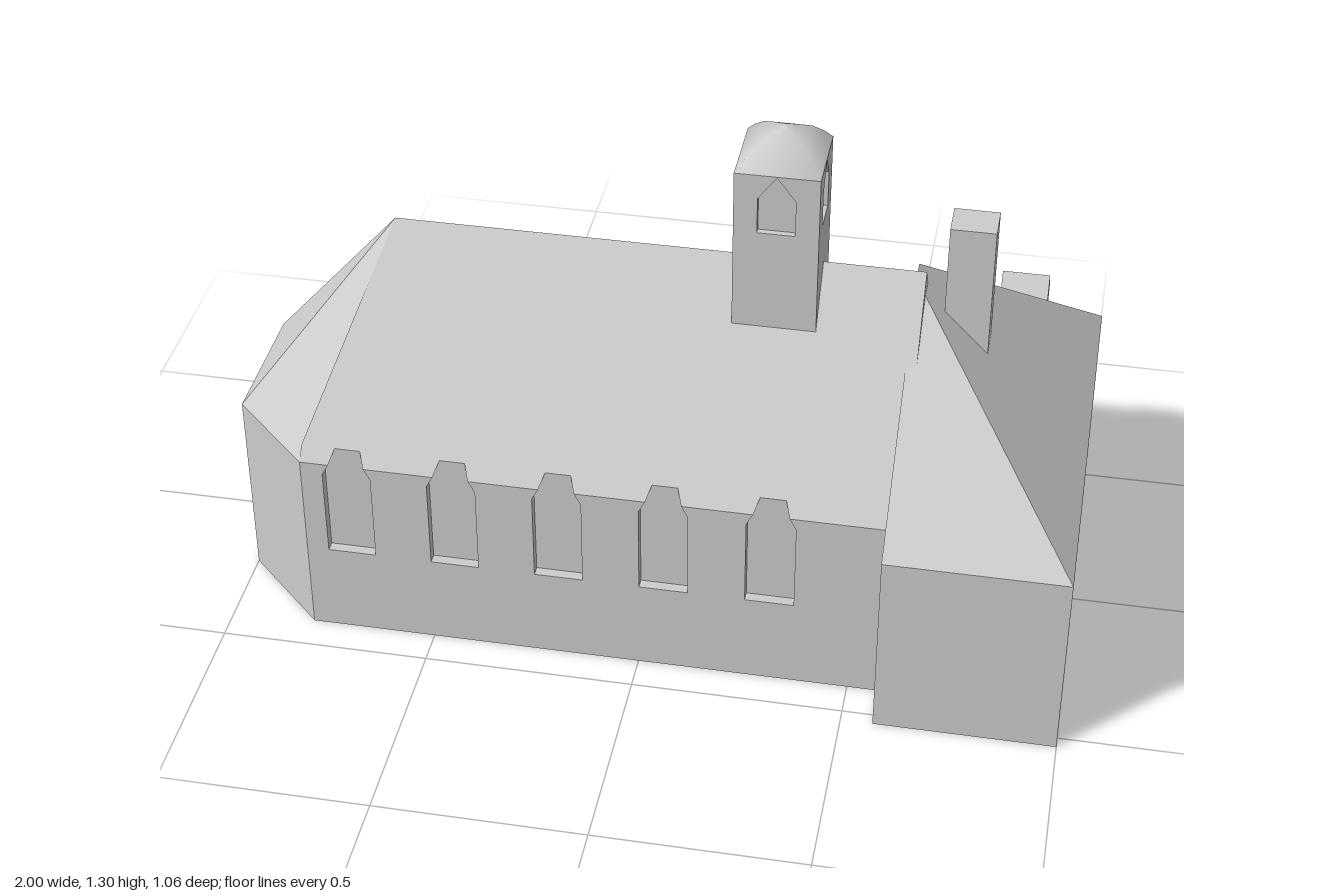
import * as THREE from 'three';

const stone = new THREE.MeshStandardMaterial({ color: 0xcccccc });
stone.name = 'stone grey';

const mesh = (name, geometry, parent) => {
  const m = new THREE.Mesh(geometry, stone);
  m.name = name;
  parent.add(m);
  return m;
};

const box = (name, x0, x1, y0, y1, z0, z1, parent) => {
  const m = mesh(name, new THREE.BoxGeometry(x1 - x0, y1 - y0, z1 - z0), parent);
  m.position.set((x0 + x1) / 2, (y0 + y1) / 2, (z0 + z1) / 2);
  return m;
};

// Flat faces, each a convex list of [x, y, z] corners
function faces(list) {
  const pos = [];
  for (const f of list)
    for (let i = 1; i < f.length - 1; i++) pos.push(...f[0], ...f[i], ...f[i + 1]);
  const g = new THREE.BufferGeometry();
  g.setAttribute('position', new THREE.Float32BufferAttribute(pos, 3));
  g.computeVertexNormals();
  return g;
}

const shapeOf = pts => new THREE.Shape(pts.map(p => new THREE.Vector2(...p)));
const extrude = (shape, depth) => new THREE.ExtrudeGeometry(shape, { depth, bevelEnabled: false });

// Wall plate with pointed window openings
function windowedWall(x0, x1, y0, y1, depth, centres, half, sill, spring, apex) {
  const s = shapeOf([[x0, y0], [x1, y0], [x1, y1], [x0, y1]]);
  for (const c of centres)
    s.holes.push(shapeOf([[c - half, sill], [c - half, spring], [c, apex], [c + half, spring], [c + half, sill]]));
  return extrude(s, depth);
}

const ZC = 0.053, HALF = 0.362, DEPTH = 0.025, EAVE = 0.485, RIDGE = 0.95;
const INNER = EAVE + DEPTH * (RIDGE - EAVE) / HALF;
const BAYS = [-0.69, -0.44, -0.19, 0.06, 0.31];

// Nave core with its hipped, angled end
function naveCore() {
  const side = [[-1, 0.17, EAVE], [-0.8, HALF, EAVE], [-0.8, HALF - DEPTH, INNER], [0.6, HALF - DEPTH, INNER]];
  const loop = [...side, ...side.map(([x, z, y]) => [x, -z, y]).reverse()];
  const ridge = x => [x > 0 ? 0.6 : -0.64, RIDGE, ZC];
  const list = [];
  loop.forEach(([px, pz, py], i) => {
    const [qx, qz, qy] = loop[(i + 1) % loop.length];
    const p0 = [px, 0, ZC + pz], q0 = [qx, 0, ZC + qz];
    const p1 = [px, py, ZC + pz], q1 = [qx, qy, ZC + qz];
    list.push([p0, q0, q1, p1], [q0, p0, [0, 0, ZC]], [p1, q1, ridge(qx)]);
    if (px * qx < 0) list.push([p1, ridge(qx), ridge(px)]);
  });
  return faces(list);
}

// Side wall whose window heads cut through the eaves
function naveWall(sign) {
  const ends = [-0.8 * sign, 0.6 * sign].sort((a, b) => a - b);
  const centres = BAYS.map(c => c * sign).sort((a, b) => b - a);
  const pts = [[ends[0], 0], [ends[1], 0], [ends[1], EAVE]];
  for (const c of centres)
    pts.push([c + 0.042, EAVE], [c + 0.0575, 0.455], [c + 0.0575, 0.23],
      [c - 0.0575, 0.23], [c - 0.0575, 0.455], [c - 0.042, EAVE]);
  pts.push([ends[0], EAVE]);
  const g = extrude(shapeOf(pts), DEPTH);
  // Slope the top of the wall to follow the roof
  const p = g.attributes.position;
  for (let i = 0; i < p.count; i++) {
    if (p.getZ(i) > 0.001 || p.getY(i) < EAVE - 0.001) continue;
    p.setY(i, INNER);
    const c = centres.find(v => Math.abs(v - p.getX(i)) < 0.05);
    if (c !== undefined) p.setX(i, c + Math.sign(p.getX(i) - c) * 0.03);
  }
  g.computeVertexNormals();
  return g;
}

function transeptCore() {
  const W = 0.575, E = 0.97, X = 1, Z = 0.53, H = 0.48, T = 0.915, t = 0.03;
  return faces([
    [[W, 0, Z], [E, 0, Z], [E, H, Z], [W, H, Z]],
    [[E, 0, -Z], [W, 0, -Z], [W, H, -Z], [E, H, -Z]],
    [[W, 0, -Z], [W, 0, Z], [W, H, Z], [W, T, t], [W, T, -t], [W, H, -Z]],
    [[E, 0, Z], [E, 0, -Z], [E, H, -Z], [E, H, Z]],
    [[W, 0, -Z], [E, 0, -Z], [E, 0, Z], [W, 0, Z]],
    // roof slopes
    [[W, H, Z], [X, H, Z], [W, T, t]],
    [[X, H, Z], [X, H, -Z], [W, T, -t], [W, T, t]],
    [[X, H, -Z], [W, H, -Z], [W, T, -t]],
  ]);
}

export function createModel() {
  const model = new THREE.Group();
  model.name = 'chapel';

  // Nave
  const nave = new THREE.Group();
  nave.name = 'nave';
  model.add(nave);
  mesh('naveBodyAndRoof', naveCore(), nave);
  mesh('frontWall', naveWall(1), nave).position.z = ZC + HALF - DEPTH;
  const back = mesh('backWall', naveWall(-1), nave);
  back.rotation.y = Math.PI;
  back.position.z = ZC - HALF + DEPTH;

  // Cross wing with three lancet windows
  const wing = new THREE.Group();
  wing.name = 'crossWing';
  model.add(wing);
  mesh('wingBodyAndRoof', transeptCore(), wing);
  const gable = mesh('wingWindowWall',
    windowedWall(-0.53, 0.53, 0, 0.48, 0.03, [-0.245, 0.03, 0.31], 0.048, 0.16, 0.385, 0.455), wing);
  gable.rotation.y = Math.PI / 2;
  gable.position.x = 0.97;

  // Bell tower: core, four pierced walls and a square dome
  const tower = new THREE.Group();
  tower.name = 'bellTower';
  tower.position.set(0.267, 0, 0.055);
  model.add(tower);
  const R = 0.097, D = 0.015;
  box('towerCore', D - R, R - D, 0.7, 1.225, D - R, R - D, tower);
  for (let i = 0; i < 4; i++) {
    const wall = mesh('towerWall', windowedWall(-R, R, 0.7, 1.225, D, [0], 0.043, 1.075, 1.165, 1.222), tower);
    wall.rotation.y = i * Math.PI / 2;
    wall.position.set(Math.sin(wall.rotation.y) * (R - D), 0, Math.cos(wall.rotation.y) * (R - D));
  }
  const profile = [[R, 1.225], [0.078, 1.25], [0.055, 1.273], [0.028, 1.29], [0, 1.305]]
    .map(([r, y]) => new THREE.Vector2(r * Math.SQRT2, y));
  mesh('towerDome', new THREE.LatheGeometry(profile, 4, Math.PI / 4), tower);

  // Chimney and small gabled dormer on the wing roof
  box('chimney', 0.645, 0.75, 0.7, 1.065, -0.045, 0.045, model);
  const dormer = mesh('dormer', extrude(shapeOf(
    [[0.375, 0.45], [0.467, 0.45], [0.467, 0.605], [0.418, 0.66], [0.375, 0.61]]), 0.115), model);
  dormer.rotation.y = Math.PI / 2;
  dormer.position.x = 0.75;

  return model;
}
